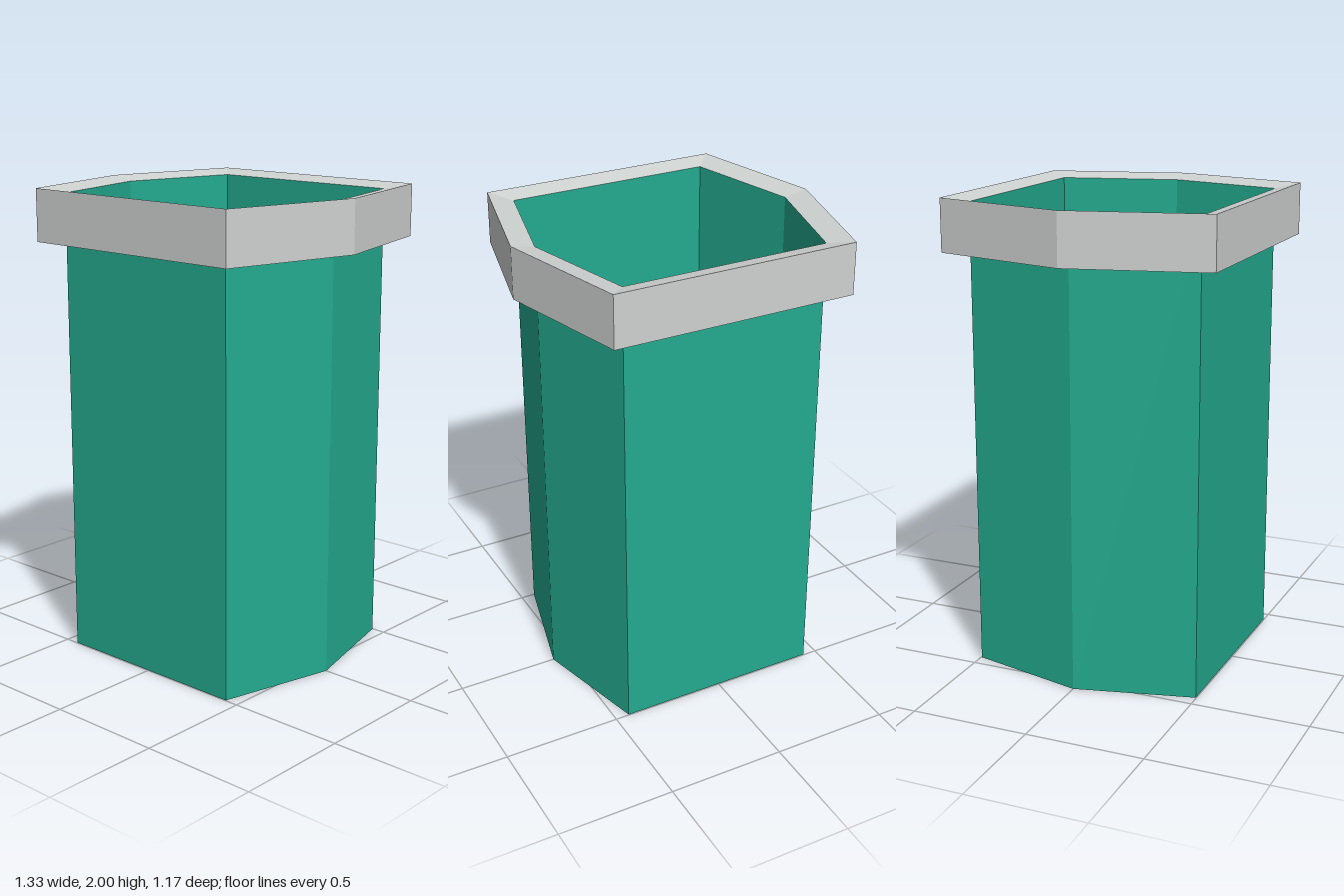
import * as THREE from 'three';

// Hexagonal ring at height y: side points at x = ±tip, corners at (±x, ±z)
function hexRing(tip, x, z, y) {
  return [[tip, 0], [x, -z], [-x, -z], [-tip, 0], [-x, z], [x, z]]
    .map(([px, pz]) => new THREE.Vector3(px, y, pz));
}

// Flat-faced strip of quads through successive rings
function loft(rings) {
  const points = [];
  for (let r = 0; r < rings.length - 1; r++) {
    const a = rings[r], b = rings[r + 1];
    for (let i = 0; i < a.length; i++) {
      const j = (i + 1) % a.length;
      points.push(a[i], a[j], b[j], a[i], b[j], b[i]);
    }
  }
  const geometry = new THREE.BufferGeometry().setFromPoints(points);
  geometry.computeVertexNormals();
  return geometry;
}

export function createModel() {
  const green = new THREE.MeshStandardMaterial({ color: 0x24ab8f, side: THREE.DoubleSide });
  green.name = 'green';
  const grey = new THREE.MeshStandardMaterial({ color: 0xced2d1, side: THREE.DoubleSide });
  grey.name = 'light grey';

  const model = new THREE.Group();
  model.name = 'hexagonalBin';
  const add = (name, geometry, material) => {
    const mesh = new THREE.Mesh(geometry, material);
    mesh.name = name;
    model.add(mesh);
  };

  const inner = (y) => hexRing(0.565, 0.44, 0.497, y);
  const outer = (y) => hexRing(0.665, 0.52, 0.585, y);

  // Thin open wall, running up to the rim's inner edge
  add('wall', loft([inner(0), inner(1.98)]), green);

  // Floor closing the bottom
  const outline = new THREE.Shape(inner(0).map((p) => new THREE.Vector2(p.x, p.z)));
  add('floor', new THREE.ShapeGeometry(outline).rotateX(Math.PI / 2), green);

  // Collar: underside, outer band and top sloping slightly inward
  add('rim', loft([inner(1.78), outer(1.78), outer(2), inner(1.98)]), grey);

  return model;
}
